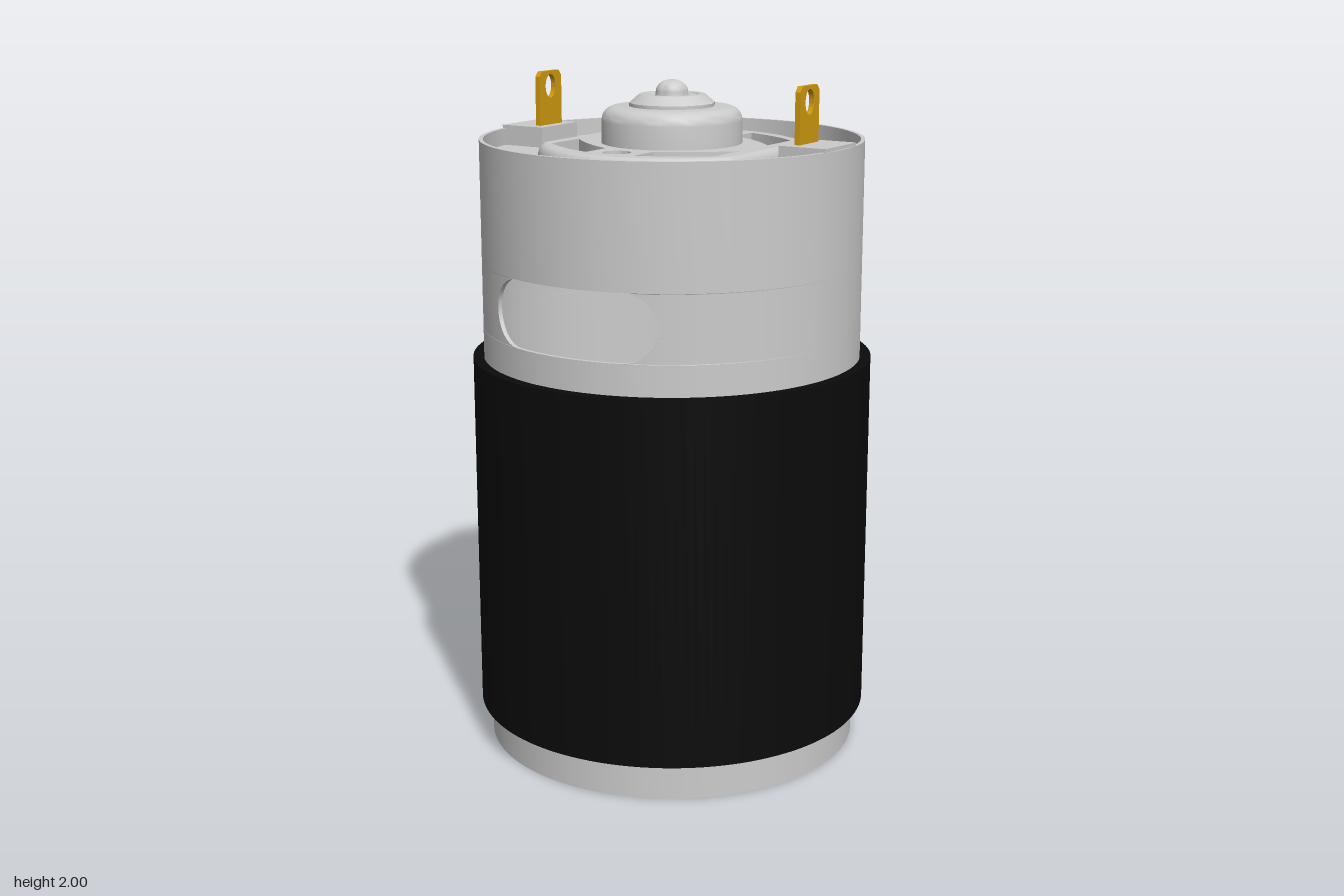
import * as THREE from 'three';
import { toCreasedNormals } from 'three/addons/utils/BufferGeometryUtils.js';
import { ParametricGeometry } from 'three/addons/geometries/ParametricGeometry.js';

const R = 0.56, RI = 0.548;                       // can wall, outer and inner
const SLOT = { y: 1.378, h: 0.098, straight: 0.175 };
const LID = 1.78, PLATEAU = 1.815, POCKET = 1.74;

export function createModel() {
  const model = new THREE.Group();
  const grey = new THREE.MeshStandardMaterial({ color: 0xcccccc });
  const greyThin = new THREE.MeshStandardMaterial({ color: 0xcccccc, side: THREE.DoubleSide });
  const black = new THREE.MeshStandardMaterial({ color: 0x0b0b0b });
  const brass = new THREE.MeshStandardMaterial({ color: 0xd09a10 });

  const add = (name, geometry, material = grey, parent = model) => {
    const mesh = new THREE.Mesh(geometry, material);
    mesh.name = name;
    parent.add(mesh);
    return mesh;
  };
  const lathe = (points, segments = 96) => toCreasedNormals(
    new THREE.LatheGeometry(points.map(([x, y]) => new THREE.Vector2(x, y)), segments), 0.6);
  const surface = (fn, u, v) => new ParametricGeometry(fn, u, v);
  // Extrude a plan shape upwards between two heights
  const slab = (shape, y0, y1) => {
    const g = new THREE.ExtrudeGeometry(shape, { depth: y1 - y0, bevelEnabled: false, curveSegments: 64 });
    g.rotateX(-Math.PI / 2).translate(0, y0, 0);
    return toCreasedNormals(g, 0.4);
  };

  // Can: closed cup below the slots, plain ring above them
  const slotLow = SLOT.y - SLOT.h, slotHigh = SLOT.y + SLOT.h;
  add('canLower', lathe([[0, 0], [R, 0], [R, slotLow], [RI, slotLow], [RI, 0.02], [0, 0.02]]));
  add('canUpper', lathe([[RI, slotHigh], [R, slotHigh], [R, 1.83], [RI, 1.83], [RI, slotHigh]]));

  // Can wall between the two slots, ending in the slots' round ends
  for (const side of [1, -1]) {
    for (const r of [R, RI]) {
      add('canSideWall', surface((u, v, p) => {
        const a = (v - 0.5) * Math.PI;
        const start = Math.asin((SLOT.straight + SLOT.h * Math.cos(a)) / R);
        const t = start + u * (Math.PI - 2 * start);
        p.set(side * r * Math.sin(t), SLOT.y + SLOT.h * Math.sin(a), r * Math.cos(t));
      }, 48, 16), greyThin);
    }
    // Slot ends, through the wall thickness, front and back
    for (const face of [1, -1]) {
      add('slotEnd', surface((u, v, p) => {
        const a = (u - 0.5) * Math.PI;
        const t = Math.asin((SLOT.straight + SLOT.h * Math.cos(a)) / R);
        const r = RI + v * (R - RI);
        p.set(side * r * Math.sin(t), SLOT.y + SLOT.h * Math.sin(a), face * r * Math.cos(t));
      }, 16, 1), greyThin);
    }
  }

  // Vent windows and round holes, shared by lid and plateau
  const cutHoles = (shape) => {
    for (const sx of [1, -1]) for (const sy of [1, -1]) {
      const w = new THREE.Path();
      w.moveTo(sx * 0.08, sy * 0.225);
      w.quadraticCurveTo(sx * 0.185, sy * 0.175, sx * 0.275, sy * 0.08);
      w.lineTo(sx * 0.275, sy * 0.215);
      w.quadraticCurveTo(sx * 0.185, sy * 0.29, sx * 0.08, sy * 0.322);
      w.closePath();
      shape.holes.push(w);
    }
    for (const sy of [1, -1]) {
      shape.holes.push(new THREE.Path().absarc(0, sy * 0.288, 0.04, 0, Math.PI * 2));
    }
    return shape;
  };

  // Recessed end cap with a floor under the vents
  add('capFloor', new THREE.CylinderGeometry(RI, RI, 0.03, 96).translate(0, POCKET - 0.015, 0));
  add('cap', slab(cutHoles(new THREE.Shape().absarc(0, 0, RI, 0, Math.PI * 2)), POCKET, LID));

  // Raised plateau: circle with flat sides and a rounded edge
  const outline = (t, inset) => {
    const flat = 0.337 - inset, r = 0.39 - inset;
    return new THREE.Vector2(THREE.MathUtils.clamp(r * Math.cos(t), -flat, flat), r * Math.sin(t));
  };
  const edge = PLATEAU - LID, inset = 0.025;
  const ring = Array.from({ length: 96 }, (_, i) => outline(i / 96 * Math.PI * 2, inset));
  add('plateau', slab(cutHoles(new THREE.Shape(ring)), LID, PLATEAU));
  add('plateauEdge', surface((u, v, p) => {
    const a = v * Math.PI / 2;
    const q = outline(u * Math.PI * 2, inset * (1 - Math.cos(a)));
    p.set(q.x, LID + edge * Math.sin(a), q.y);
  }, 96, 6), greyThin);

  // Bearing boss with rounded shoulder
  const shoulder = Array.from({ length: 7 }, (_, i) => {
    const a = i / 6 * Math.PI / 2;
    return [0.165 + 0.04 * Math.cos(a), 1.88 + 0.04 * Math.sin(a)];
  });
  add('bearingBoss', lathe([[0.205, 1.79], ...shoulder, [0, 1.92]], 48));
  add('bearingCollar', lathe([[0.125, 1.918], [0.125, 1.93], [0.096, 1.955], [0.08, 1.955],
    [0.076, 1.95], [0, 1.95]], 14));

  // Shaft tip
  const dome = Array.from({ length: 7 }, (_, i) => {
    const a = i / 6 * Math.PI / 2;
    return [0.047 * Math.cos(a), 1.962 + 0.034 * Math.sin(a)];
  });
  add('shaftTip', lathe([[0.052, 1.94], [0.047, 1.955], ...dome], 32));

  // Terminals: blade with an oval eye, standing on a square pad
  const blade = new THREE.Shape([[-0.055, 1.8], [0.055, 1.8], [0.055, 1.985], [0.042, 2],
    [-0.042, 2], [-0.055, 1.985]].map(([x, y]) => new THREE.Vector2(x, y)));
  blade.holes.push(new THREE.Path().absellipse(0, 1.955, 0.025, 0.035, 0, Math.PI * 2));
  for (const side of [1, -1]) {
    const terminal = new THREE.Group();
    terminal.name = side > 0 ? 'leftTerminal' : 'rightTerminal';
    terminal.position.set(side * 0.445, 0, side > 0 ? 0 : -0.005);
    const g = new THREE.ExtrudeGeometry(blade, { depth: 0.016, bevelEnabled: false, curveSegments: 24 });
    g.translate(0, 0, -0.008).rotateY(Math.PI / 2);
    add('blade', toCreasedNormals(g, 0.4), brass, terminal);
    add('pad', new THREE.BoxGeometry(0.147, 0.07, 0.18).translate(side * 0.034, 1.805, 0), grey, terminal);
    model.add(terminal);
  }

  // Split sleeve, open along the right side
  const RS = 0.592, start = -Math.PI + Math.asin(0.075 / RS), end = Math.PI - Math.asin(0.087 / RS);
  const sleeve = new THREE.Shape();
  sleeve.absarc(0, 0, RS, start, end, false);
  sleeve.absarc(0, 0, R + 0.001, end, start, true);
  sleeve.closePath();
  add('sleeve', slab(sleeve, 0.11, 1.19), black);

  return model;
}
